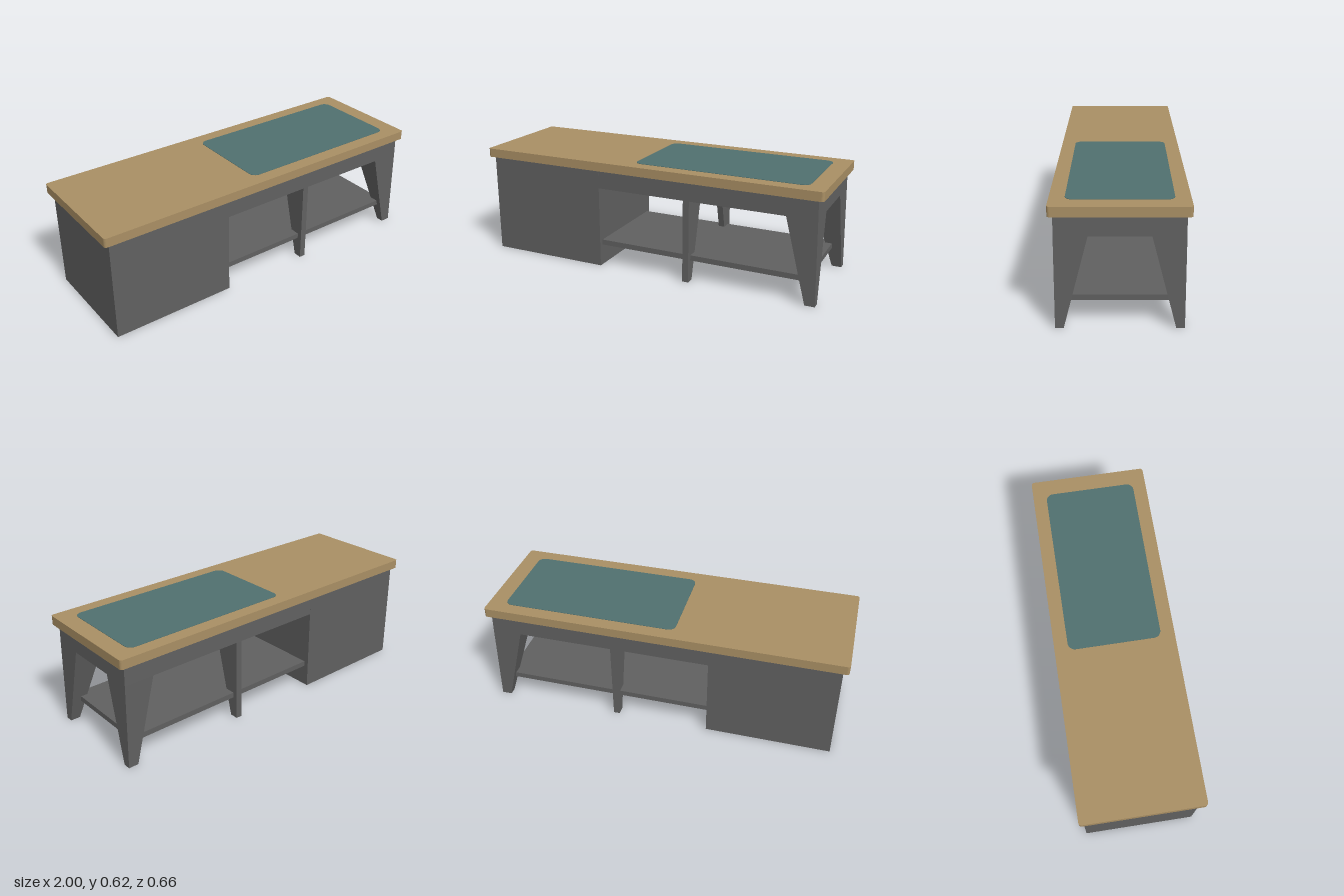
import * as THREE from 'three';

const wood = new THREE.MeshStandardMaterial({ color: 0xa98f64 });
wood.name = 'wood';
const grey = new THREE.MeshStandardMaterial({ color: 0x606060 });
grey.name = 'grey paint';
const teal = new THREE.MeshStandardMaterial({ color: 0x50706f });
teal.name = 'teal mat';

// Box given by its limits on each axis
function box(name, [x0, x1], [y0, y1], [z0, z1], mat) {
  const mesh = new THREE.Mesh(new THREE.BoxGeometry(x1 - x0, y1 - y0, z1 - z0), mat);
  mesh.position.set((x0 + x1) / 2, (y0 + y1) / 2, (z0 + z1) / 2);
  mesh.name = name;
  return mesh;
}

// Block whose foot and head are different rectangles [x0, x1, z0, z1]
function taper(name, foot, head, height, mat) {
  let geo = new THREE.BoxGeometry(1, 1, 1);
  const p = geo.attributes.position;
  for (let i = 0; i < p.count; i++) {
    const r = p.getY(i) > 0 ? head : foot;
    p.setXYZ(i, p.getX(i) > 0 ? r[1] : r[0], p.getY(i) > 0 ? height : 0, p.getZ(i) > 0 ? r[3] : r[2]);
  }
  geo = geo.toNonIndexed();
  geo.computeVertexNormals();
  const mesh = new THREE.Mesh(geo, mat);
  mesh.name = name;
  return mesh;
}

// Flat slab with rounded corners, lying in the xz plane
function slab(name, [x0, x1], [z0, z1], y, thickness, r, mat) {
  const s = new THREE.Shape();
  const a = -z1, b = -z0;
  s.moveTo(x0 + r, a);
  s.lineTo(x1 - r, a);
  s.absarc(x1 - r, a + r, r, -Math.PI / 2, 0);
  s.lineTo(x1, b - r);
  s.absarc(x1 - r, b - r, r, 0, Math.PI / 2);
  s.lineTo(x0 + r, b);
  s.absarc(x0 + r, b - r, r, Math.PI / 2, Math.PI);
  s.lineTo(x0, a + r);
  s.absarc(x0 + r, a + r, r, Math.PI, Math.PI * 1.5);
  const geo = new THREE.ExtrudeGeometry(s, { depth: thickness, bevelEnabled: false, curveSegments: 5 });
  geo.rotateX(-Math.PI / 2);
  const mesh = new THREE.Mesh(geo, mat);
  mesh.position.y = y;
  mesh.name = name;
  return mesh;
}

export function createModel() {
  const desk = new THREE.Group();
  desk.name = 'desk';

  // Worktop and inlaid mat
  desk.add(slab('worktop', [-1, 1], [-0.33, 0.33], 0.57, 0.05, 0.015, wood));
  desk.add(slab('cuttingMat', [-0.07, 0.905], [-0.255, 0.255], 0.619, 0.003, 0.04, teal));

  // Cabinet, apron and low shelf
  desk.add(box('cabinet', [-0.97, -0.27], [0, 0.57], [-0.307, 0.307], grey));
  const apron = taper('apron', [-0.27, 0.973, -0.307, 0.307], [-0.27, 0.97, -0.306, 0.306], 0.105, grey);
  apron.position.y = 0.465;
  desk.add(apron);
  desk.add(box('shelf', [-0.27, 0.93], [0.12, 0.15], [-0.28, 0.28], grey));

  // Tapered legs, front and back
  for (const [side, s] of [['front', 1], ['back', -1]]) {
    const z = (inner, outer) => (s > 0 ? [inner, outer] : [-outer, -inner]);
    desk.add(taper(side + 'EndLeg', [0.93, 0.985, ...z(0.267, 0.308)], [0.81, 0.973, ...z(0.148, 0.307)], 0.465, grey));
    desk.add(taper(side + 'MiddleLeg', [0.245, 0.28, ...z(0.26, 0.308)], [0.245, 0.28, ...z(0.142, 0.307)], 0.465, grey));
  }
  return desk;
}
